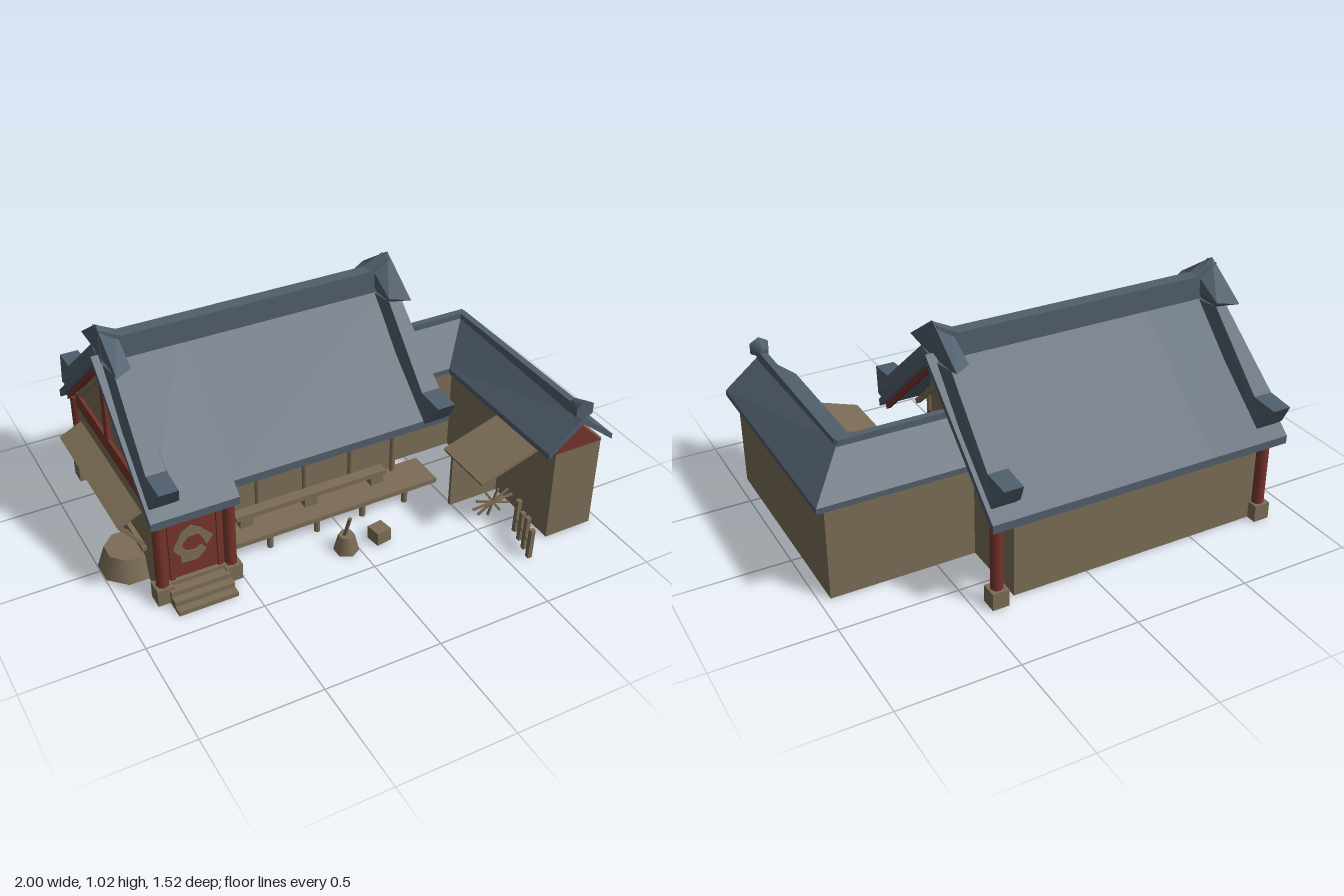
import * as THREE from 'three';

const mat = (name, color) => {
  const m = new THREE.MeshStandardMaterial({ color, side: THREE.DoubleSide });
  m.name = name;
  return m;
};

export function createModel() {
  const root = new THREE.Group();
  root.name = 'courtyardHouse';
  const slate = mat('slateBlue', 0x505e6c);
  const tan = mat('tanPlaster', 0x7b6c55);
  const red = mat('redTimber', 0x75342b);

  const add = (name, geo, m) => {
    const mesh = new THREE.Mesh(geo, m);
    mesh.name = name;
    root.add(mesh);
    return mesh;
  };
  // box given by its limits
  const box = (name, m, x0, x1, y0, y1, z0, z1) => {
    const g = new THREE.BoxGeometry(x1 - x0, y1 - y0, z1 - z0);
    g.translate((x0 + x1) / 2, (y0 + y1) / 2, (z0 + z1) / 2);
    return add(name, g, m);
  };
  // round upright post
  const post = (name, m, x, z, y0, y1, r) => add(name,
    new THREE.CylinderGeometry(r, r, y1 - y0, 8).translate(x, (y0 + y1) / 2, z), m);
  const shapeOf = (pts) => new THREE.Shape(pts.map((p) => new THREE.Vector2(p[0], p[1])));
  const extrude = (shape, depth) => new THREE.ExtrudeGeometry(shape, { depth, bevelEnabled: false });
  // (z, y) profile extruded between two x positions
  const slabX = (pts, x0, x1) => {
    const g = extrude(shapeOf(pts), x1 - x0);
    g.rotateY(-Math.PI / 2);
    return g.translate(x1, 0, 0);
  };
  // square bar between two points
  const bar = (name, m, a, b, w = 0.015, d = w) => {
    const p = new THREE.Vector3(...a), q = new THREE.Vector3(...b);
    const mesh = add(name, new THREE.BoxGeometry(w, d, p.distanceTo(q)), m);
    mesh.position.copy(p).add(q).multiplyScalar(0.5);
    mesh.lookAt(q);
    return mesh;
  };

  // ---- main roof: straight gable, longer over the left porch
  const RZ = -0.2, SLOPE = 0.865;
  const top = (z) => 0.89 - SLOPE * Math.abs(z - RZ);
  const roofBand = (zf, zb, lift, t) => [
    [zb, top(zb) + lift], [RZ, top(RZ) + lift], [zf, top(zf) + lift],
    [zf, top(zf) + lift - t], [RZ, top(RZ) + lift - t], [zb, top(zb) + lift - t]];
  add('mainRoof', slabX(roofBand(0.275, -0.73, 0, 0.035), -0.51, 0.47), slate);
  add('porchRoof', slabX(roofBand(0.325, -0.73, 0, 0.035), -0.88, -0.51), slate);
  for (const [x, zf] of [[-0.86, 0.29], [0.43, 0.25]]) {
    add('bargeBoard', slabX(roofBand(zf, -0.69, -0.03, 0.035), x, x + 0.02), red);
  }

  // ---- ridge with upturned ends
  const ridge = extrude(shapeOf([[-0.85, 1.01], [-0.76, 0.965], [0.34, 0.965], [0.43, 1.01],
    [0.43, 0.85], [-0.85, 0.85]]), 0.06);
  add('mainRidge', ridge.translate(0, 0, RZ - 0.03), slate);

  // ---- sloping end ridges: swallow tail at the peak, narrow crest, flared feet
  const half = [[0.2, 0.89], [0.13, 0.865], [0.44, 0.595], [0.562, 0.585], [0.5, 0.49], [0.47, 0.46]];
  const halfWidth = (d, y) => {
    if (d > 0.53) return 0.04;
    if (d > 0.48) return 0.062;
    if (d > 0.45 || y < 0.862) return 0.042;
    return 0.025;
  };
  const profile = [[0, 1.025], ...half, [0, 0.86], ...half.map(([d, y]) => [-d, y]).reverse()]
    .map(([d, y]) => [d + RZ, y]);
  for (const [cx, out] of [[-0.81, -1], [0.4, 1]]) {
    const g = slabX(profile, -1, 1);
    const p = g.attributes.position;
    for (let i = 0; i < p.count; i++) {
      const z = p.getZ(i) - RZ, y = p.getY(i), s = p.getX(i);
      const isTail = y > 0.88;
      p.setX(i, cx + s * (isTail ? 0.038 : halfWidth(Math.abs(z), y)));
      // the tail sinks and shrinks towards the middle of the roof
      if (isTail && s * out < 0) {
        p.setY(i, y > 1 ? 0.97 : y);
        p.setZ(i, RZ + z * 0.75);
      }
    }
    g.computeVertexNormals();
    add('endRidge', g, slate);
  }

  // ---- main walls, open below
  const gable = (zb, zf, y0) => [[zb, y0], [zf, y0], [zf, top(zf) - 0.03], [RZ, 0.86], [zb, top(zb) - 0.03]];
  add('leftGableWall', slabX(gable(-0.62, 0.27, 0.01), -0.84, -0.82), tan);
  add('rightGableWall', slabX(gable(-0.62, 0.06, 0.01), 0.31, 0.33), tan);
  box('backWall', tan, -0.84, 0.33, 0.01, 0.48, -0.635, -0.615);
  box('frontWall', tan, -0.53, 0.33, 0.01, 0.62, 0.04, 0.06);
  box('innerBeam', red, -0.52, 0.31, 0.43, 0.5, 0.034, 0.04);

  // ---- gable timbers
  for (const [x, zf] of [[0.335, 0.05], [-0.855, 0.26]]) {
    box('gableBeam', red, x, x + 0.015, 0.43, 0.5, -0.58, zf);
    box('kingPost', red, x, x + 0.018, 0.5, 0.78, -0.222, -0.178);
    for (const s of [-1, 1]) {
      bar('gableRafter', tan, [x + 0.01, 0.77, RZ + s * 0.03], [x + 0.01, 0.49, RZ + s * 0.36], 0.02);
    }
  }

  // ---- corner posts on stone blocks
  for (const [x, z] of [[-0.835, -0.645], [0.41, -0.645], [-0.835, 0.275], [-0.54, 0.275]]) {
    post('cornerPost', red, x, z, 0.08, 0.44, 0.027);
    box('postBase', tan, x - 0.036, x + 0.036, 0.01, 0.085, z - 0.036, z + 0.036);
  }
  box('rearTieBeam', red, 0.33, 0.43, 0.42, 0.46, -0.66, -0.62);

  // ---- red porch room with curled emblem on both faces, and steps
  box('porchFront', red, -0.83, -0.53, 0.09, 0.43, 0.25, 0.27);
  box('porchSide', red, -0.545, -0.525, 0.02, 0.45, 0.05, 0.26);
  box('porchSill', tan, -0.86, -0.52, 0.01, 0.09, 0.25, 0.29);
  for (const x of [-0.79, -0.585]) box('doorJamb', red, x - 0.01, x + 0.01, 0.09, 0.43, 0.27, 0.28);
  const emblem = shapeOf([[-0.785, 0.235], [-0.745, 0.305], [-0.7, 0.33], [-0.66, 0.305], [-0.61, 0.25],
    [-0.64, 0.215], [-0.655, 0.255], [-0.67, 0.28], [-0.715, 0.28], [-0.745, 0.245], [-0.725, 0.21],
    [-0.69, 0.205], [-0.66, 0.22], [-0.64, 0.195], [-0.68, 0.155], [-0.75, 0.16], [-0.75, 0.195]]);
  for (const z of [0.27, 0.244]) add('curledEmblem', extrude(emblem, 0.006).translate(0, 0, z), tan);
  for (let i = 0; i < 3; i++) {
    box('porchStep', tan, -0.82, -0.565, 0.01, 0.03 + i * 0.022, 0.28, 0.4 - i * 0.035);
  }

  // ---- veranda, screen frame and bench
  box('verandaDeck', tan, -0.52, 0.47, 0.085, 0.107, 0.05, 0.22);
  for (const x of [-0.32, -0.1, 0.12, 0.33]) {
    post('screenPost', tan, x, 0.075, 0.1, 0.58, 0.013);
    post('deckLeg', tan, x, 0.185, 0.01, 0.09, 0.014);
  }
  for (const y of [0.33, 0.44]) box('screenRail', tan, -0.52, 0.33, y - 0.01, y + 0.01, 0.06, 0.08);
  box('bench', tan, -0.45, 0.26, 0.15, 0.172, 0.09, 0.14);
  for (const x of [-0.4, -0.1, 0.22]) box('benchLeg', tan, x - 0.03, x + 0.03, 0.105, 0.15, 0.095, 0.135);

  // ---- L-shaped side wing: roof section swept along a mitred path
  const stations = [
    { x: 0.34, z: RZ, mx: 0, mz: -1, y: 0.62 },
    { x: 0.84, z: RZ, mx: 1, mz: -1, y: 0.62 },
    { x: 0.84, z: 0.69, mx: 1, mz: 0, y: 0.59 }];
  const loops = stations.map((s) => [[-0.157, 0.46], [0, s.y], [0.16, 0.46], [0.16, 0.435], [0, s.y - 0.03], [-0.157, 0.435]]
    .map(([o, y]) => [s.x + o * s.mx, y, s.z + o * s.mz]));
  const verts = [];
  const quad = (a, b, c, d) => verts.push(...a, ...b, ...c, ...a, ...c, ...d);
  for (let k = 0; k < 2; k++) {
    for (let i = 0; i < 6; i++) {
      const j = (i + 1) % 6;
      quad(loops[k][i], loops[k + 1][i], loops[k + 1][j], loops[k][j]);
    }
  }
  const e = loops[2];
  quad(e[0], e[5], e[4], e[1]);
  quad(e[1], e[4], e[3], e[2]);
  const wingRoof = new THREE.BufferGeometry();
  wingRoof.setAttribute('position', new THREE.Float32BufferAttribute(verts, 3));
  wingRoof.computeVertexNormals();
  add('wingRoof', wingRoof, slate);
  add('wingRidge', slabX([[0.68, 0.57], [0.68, 0.64], [0.62, 0.628], [-0.2, 0.63], [-0.2, 0.57]], 0.824, 0.854), slate);
  box('connectorRidge', slate, 0.36, 0.85, 0.59, 0.632, RZ - 0.015, RZ + 0.015);
  const finial = new THREE.CylinderGeometry(0.047, 0.02, 0.07, 6);
  finial.rotateX(Math.PI / 2);
  add('wingFinial', finial.translate(0.836, 0.627, 0.655), slate);

  // ---- wing walls, open below: [x0, x1, z0, z1]
  for (const [x0, x1, z0, z1] of [
    [0.935, 0.955, -0.312, 0.675], [0.33, 0.955, -0.312, -0.292], [0.73, 0.955, 0.655, 0.675],
    [0.73, 0.75, -0.1, 0.675], [0.33, 0.75, -0.11, -0.09]]) {
    box('wingWall', tan, x0, x1, 0.01, 0.45, z0, z1);
  }
  const tri = shapeOf([[0.725, 0.44], [0.955, 0.44], [0.84, 0.55]]);
  add('wingGable', extrude(tri, 0.03).translate(0, 0, 0.65), red);

  // ---- lean-to awning with a back panel
  bar('leanToRoof', tan, [0.73, 0.39, 0.42], [0.46, 0.3, 0.42], 0.285, 0.015);
  box('leanToPanel', tan, 0.49, 0.73, 0.01, 0.31, 0.29, 0.305);

  // ---- fan of tools and rail fence by the wing
  for (let i = 0; i < 5; i++) {
    const a = (i / 5) * Math.PI + 0.1;
    const dx = Math.cos(a) * 0.1, dy = Math.sin(a) * 0.065;
    bar('leaningTool', tan, [0.61 - dx, 0.085 - dy, 0.45], [0.61 + dx, 0.085 + dy, 0.45], 0.009);
  }
  for (let i = 0; i < 4; i++) {
    const t = i / 3;
    const x = 0.64 - 0.05 * t, z = 0.58 + 0.165 * t;
    bar('fencePost', tan, [x, 0.01, z], [x + 0.005, 0.17 - 0.02 * (i % 2), z], 0.02);
  }
  bar('fenceRail', tan, [0.645, 0.08, 0.57], [0.59, 0.08, 0.75], 0.012);

  // ---- left side awning with struts
  bar('sideAwning', tan, [-0.85, 0.36, -0.205], [-0.95, 0.31, -0.205], 0.69, 0.015);
  for (const z of [-0.53, 0.12]) bar('awningStrut', tan, [-0.94, 0.305, z], [-0.84, 0.17, z], 0.014);
  box('windowSill', tan, -0.86, -0.83, 0.16, 0.18, -0.55, 0.14);

  // ---- boulder, barrel with stick, and chopping block
  const boulder = new THREE.CylinderGeometry(0.1, 0.132, 0.1, 8);
  boulder.rotateY(Math.PI / 8);
  add('boulder', boulder.translate(-0.876, 0.06, 0.015), tan);
  add('barrel', new THREE.CylinderGeometry(0.035, 0.054, 0.08, 6).translate(-0.05, 0.048, 0.35), tan);
  bar('barrelStick', tan, [-0.06, 0.07, 0.345], [-0.045, 0.185, 0.37], 0.013);
  const block = new THREE.BoxGeometry(0.07, 0.06, 0.07);
  block.rotateY(0.15);
  add('choppingBlock', block.translate(0.105, 0.04, 0.355), tan);

  return root;
}
